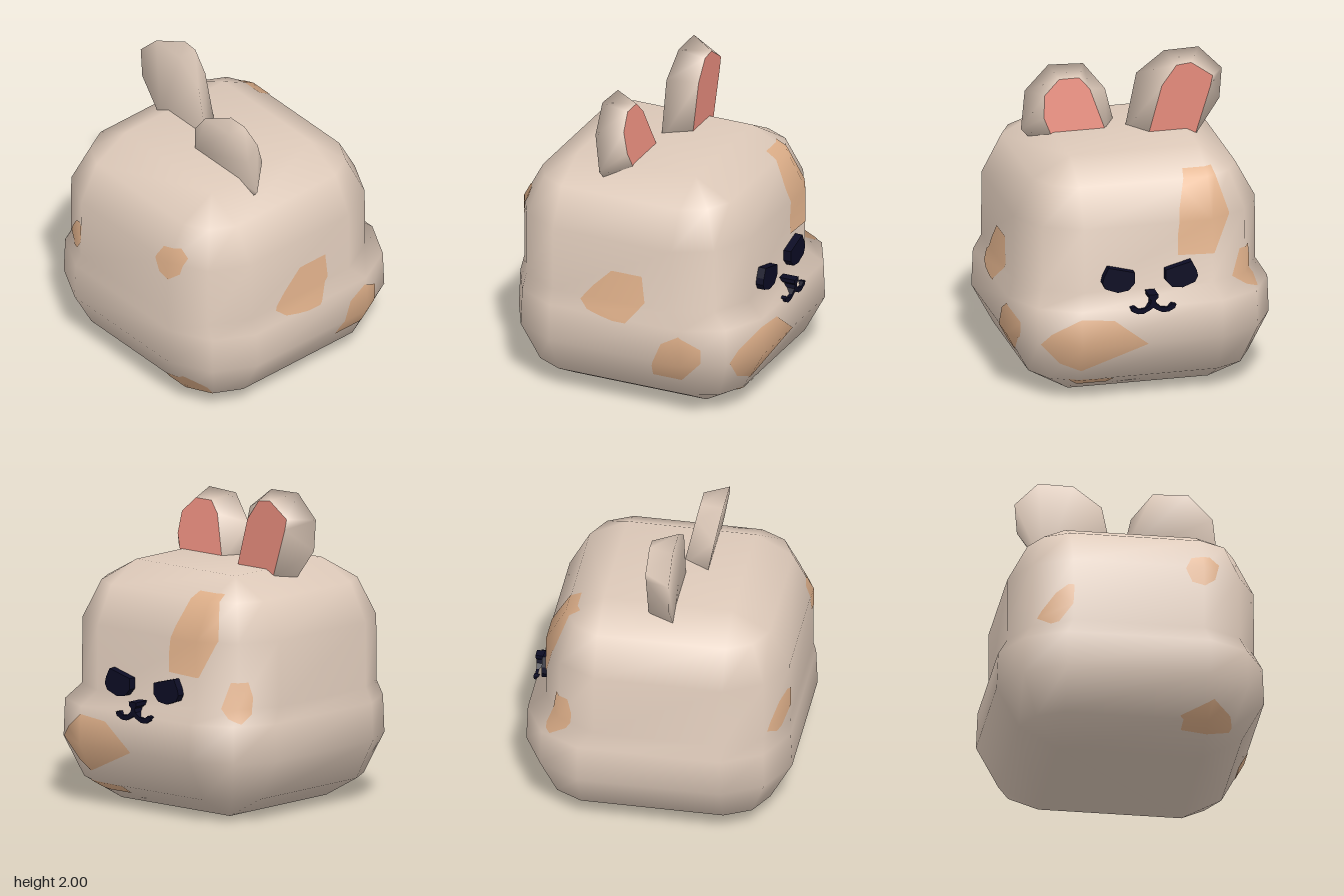
import * as THREE from 'three';
import { mergeVertices } from 'three/addons/utils/BufferGeometryUtils.js';

const mat = (name, color) => Object.assign(new THREE.MeshStandardMaterial({ color }), { name });

function meshFrom(points, index, name, material) {
  let g = new THREE.BufferGeometry();
  g.setAttribute('position', new THREE.Float32BufferAttribute(points.flat(), 3));
  g.setIndex(index);
  g = mergeVertices(g, 1e-4);
  g.computeVertexNormals();
  const mesh = new THREE.Mesh(g, material);
  mesh.name = name;
  return mesh;
}

// Body: stacked rounded-square rings [y, centreX, coreX, coreZ, cornerRadius]
function makeBody(material) {
  const rings = [
    [0, -0.01, 0.455, 0.455, 0], [0.14, -0.01, 0.455, 0.455, 0.255],
    [0.4, -0.01, 0.455, 0.455, 0.395], [0.64, -0.01, 0.455, 0.455, 0.385],
    [0.73, -0.06, 0.41, 0.415, 0.37], [1.15, -0.06, 0.41, 0.415, 0.368],
    [1.39, -0.06, 0.41, 0.415, 0.24], [1.52, -0.06, 0.41, 0.415, 0],
  ];
  const signs = [[1, 1], [-1, 1], [-1, -1], [1, -1]];
  const points = [], index = [];
  for (const [y, cx, kx, kz, r] of rings)
    signs.forEach(([sx, sz], q) => {
      for (let k = 0; k < 3; k++) {
        const a = (q + k / 2) * Math.PI / 2, s = k === 1 ? 0.93 * r : r;
        points.push([cx + sx * kx + s * Math.cos(a), y, sz * kz + s * Math.sin(a)]);
      }
    });
  for (let i = 0; i < rings.length - 1; i++)
    for (let j = 0; j < 12; j++) {
      const a = i * 12 + j, b = i * 12 + (j + 1) % 12;
      index.push(a, a + 12, b, b, a + 12, b + 12);
    }
  const t = (rings.length - 1) * 12;
  index.push(0, 3, 6, 0, 6, 9, t, t + 6, t + 3, t, t + 9, t + 6);
  return meshFrom(points, index, 'body', material);
}

// Coat patch: body faces turned towards (nx, nz), clipped by a convex outline
// measured along the horizontal axis (ux, uz) and y
function makePatch(body, material, [nx, nz], [ux, uz], outline) {
  const g = body.geometry.toNonIndexed(), P = g.attributes.position, N = g.attributes.normal;
  const len = Math.hypot(ux, uz);
  const project = v => [(v[0] * ux + v[2] * uz) / len, v[1]];
  const poly = outline.map(p => new THREE.Vector2(...p));
  if (THREE.ShapeUtils.area(poly) < 0) poly.reverse();
  const pos = [], nor = [], tri = new THREE.Triangle(), fn = new THREE.Vector3();
  for (let i = 0; i < P.count; i += 3) {
    tri.setFromAttributeAndIndices(P, i, i + 1, i + 2);
    if (tri.getArea() < 1e-6) continue;
    tri.getNormal(fn);
    if ((fn.x * nx + fn.z * nz) / Math.hypot(nx, nz) < 0.1) continue;
    let face = [0, 1, 2].map(k => [P.getX(i + k), P.getY(i + k), P.getZ(i + k),
      N.getX(i + k), N.getY(i + k), N.getZ(i + k)]);
    poly.forEach((a, e) => {
      const b = poly[(e + 1) % poly.length];
      const side = v => {
        const [u, y] = project(v);
        return (b.x - a.x) * (y - a.y) - (b.y - a.y) * (u - a.x);
      };
      const next = [];
      face.forEach((v, k) => {
        const w = face[(k + 1) % face.length], sv = side(v), sw = side(w);
        if (sv >= 0) next.push(v);
        if (sv * sw < 0) next.push(v.map((c, m) => c + (w[m] - c) * sv / (sv - sw)));
      });
      face = next;
    });
    for (let k = 1; k < face.length - 1; k++)
      for (const v of [face[0], face[k], face[k + 1]]) {
        for (let m = 0; m < 3; m++) pos.push(v[m] + 0.004 * v[m + 3]);
        nor.push(v[3], v[4], v[5]);
      }
  }
  const out = new THREE.BufferGeometry();
  out.setAttribute('position', new THREE.Float32BufferAttribute(pos, 3));
  out.setAttribute('normal', new THREE.Float32BufferAttribute(nor, 3));
  const mesh = new THREE.Mesh(out, material);
  mesh.name = 'coatPatch';
  return mesh;
}

// Ear: wide back outline bevelled to a smaller pink front, outlines as [z, y]
function makeEar(name, back, front, backX, frontX, fur, pink) {
  const ear = new THREE.Group(), n = back.length;
  ear.name = name;
  const rim = back.map(([z, y]) => [backX(y), y, z]);
  const lip = front.map(([z, y]) => [frontX(y), y, z]);
  const shell = [], inner = [];
  for (let j = 0; j < n; j++) {
    const k = (j + 1) % n;
    shell.push(j, k, n + j, k, n + k, n + j);
    if (j > 0 && j < n - 1) {
      shell.push(0, j + 1, j);
      inner.push(0, j, j + 1);
    }
  }
  ear.add(meshFrom([...rim, ...lip], shell, 'earShell', fur));
  ear.add(meshFrom(lip, inner, 'innerEar', pink));
  return ear;
}

// Face piece: [z, y] outline extruded along x between two depths that follow y
function makeFacePiece(name, outline, backX, frontX, material) {
  const shape = new THREE.Shape(outline.map(([z, y]) => new THREE.Vector2(-z, y)));
  const g = new THREE.ExtrudeGeometry(shape, { depth: 1, bevelEnabled: false });
  g.rotateY(Math.PI / 2);
  const p = g.attributes.position;
  for (let i = 0; i < p.count; i++)
    p.setX(i, THREE.MathUtils.lerp(backX(p.getY(i)), frontX(p.getY(i)), p.getX(i)));
  g.computeVertexNormals();
  const mesh = new THREE.Mesh(g, material);
  mesh.name = name;
  return mesh;
}

export function createModel() {
  const fur = mat('cream fur', 0xdecaba), tan = mat('tan patch', 0xdfb08a);
  const pink = mat('ear pink', 0xe58b7c), dark = mat('dark navy', 0x0c0c24);
  const model = new THREE.Group();
  model.name = 'rabbit';
  const body = makeBody(fur);
  model.add(body);

  // Coat patches: facing direction, measuring axis, outline
  const X = [1, 0], Z = [0, 1];
  const patches = [
    [Z, X, [[-0.27, 0.71], [-0.19, 0.81], [-0.06, 0.94], [0.15, 0.94], [0.17, 0.76], [0.06, 0.62], [-0.03, 0.62], [-0.21, 0.66]]],
    [Z, X, [[0.23, 0.28], [0.24, 0.36], [0.31, 0.53], [0.43, 0.6], [0.56, 0.51], [0.56, 0.42], [0.43, 0.28]]],
    [X, Z, [[0.695, 0.41], [0.63, 0.48], [0.46, 0.59], [0.25, 0.57], [0.03, 0.4], [0.44, 0.22], [0.57, 0.27]]],
    [X, Z, [[0.51, 0.15], [0.43, 0.08], [0.24, 0.08], [0.22, 0.14]]],
    [X, Z, [[-0.27, 1.43], [-0.46, 1.43], [-0.54, 1.16], [-0.43, 0.92], [-0.19, 0.93], [-0.19, 1.06], [-0.21, 1.22]]],
    [[1, -1], [1, 1], [[0.06, 0.73], [0, 0.9], [-0.11, 0.9], [-0.14, 0.8], [-0.13, 0.7], [-0.06, 0.65], [0.02, 0.68]]],
    [[-1, 0], Z, [[0.3, 1.13], [0.34, 1.22], [0.46, 1.25], [0.52, 1.2], [0.49, 1.08], [0.42, 1.02], [0.34, 1.04]]],
    [[-1, -1], [-1, 1], [[0.07, 0.77], [0.1, 0.82], [0.19, 0.93], [0.27, 0.98], [0.305, 0.97], [0.3, 0.84], [0.21, 0.73], [0.16, 0.72]]],
    [[-1, 1], [1, 1], [[-0.32, 0.16], [-0.2, 0.27], [-0.05, 0.2], [0, 0.12], [-0.12, 0.09], [-0.25, 0.1]]],
  ];
  for (const [facing, axis, outline] of patches) model.add(makePatch(body, tan, facing, axis, outline));

  // Ears
  model.add(makeEar('rightSideEar',
    [[-0.5, 1.42], [-0.67, 1.645], [-0.685, 1.845], [-0.535, 2], [-0.31, 1.995], [-0.13, 1.86], [-0.05, 1.47]],
    [[-0.47, 1.47], [-0.57, 1.79], [-0.585, 1.86], [-0.445, 1.96], [-0.35, 1.95], [-0.255, 1.82], [-0.16, 1.47]],
    () => -0.11, () => 0.055, fur, pink));
  model.add(makeEar('leftSideEar',
    [[-0.02, 1.48], [0.03, 1.71], [0.165, 1.88], [0.39, 1.89], [0.55, 1.74], [0.585, 1.5], [0.54, 1.45]],
    [[0.07, 1.48], [0.165, 1.77], [0.23, 1.845], [0.36, 1.845], [0.46, 1.75], [0.47, 1.61], [0.42, 1.48]],
    y => -0.31 + (1.89 - y) * 0.18, y => -0.15 + (1.85 - y) * 0.21, fur, pink));

  // Eyes, mirrored across z
  const eye = [[0.27, 0.9], [0.1, 0.855], [0.1, 0.785], [0.14, 0.74], [0.21, 0.73], [0.29, 0.76], [0.31, 0.8], [0.3, 0.84]];
  for (const s of [1, -1])
    model.add(makeFacePiece('eye', eye.map(([z, y]) => [s * z, y]), () => 0.71, () => 0.77, dark));

  // Nose and mouth in one piece, from a half outline mirrored across z
  const half = [[0.03, 0.73], [0.03, 0.705], [0.014, 0.69], [0.02, 0.665], [0.05, 0.64], [0.09, 0.635],
    [0.12, 0.655], [0.148, 0.65], [0.14, 0.625], [0.1, 0.604], [0.06, 0.604], [0.02, 0.625]];
  const mouth = [...half, [0, 0.64], ...half.map(([z, y]) => [-z, y]).reverse()];
  model.add(makeFacePiece('noseAndMouth', mouth,
    y => 0.81 - Math.max(0, y - 0.64) * 0.65, y => 0.845 + (y - 0.604) * 0.1, dark));

  return model;
}
